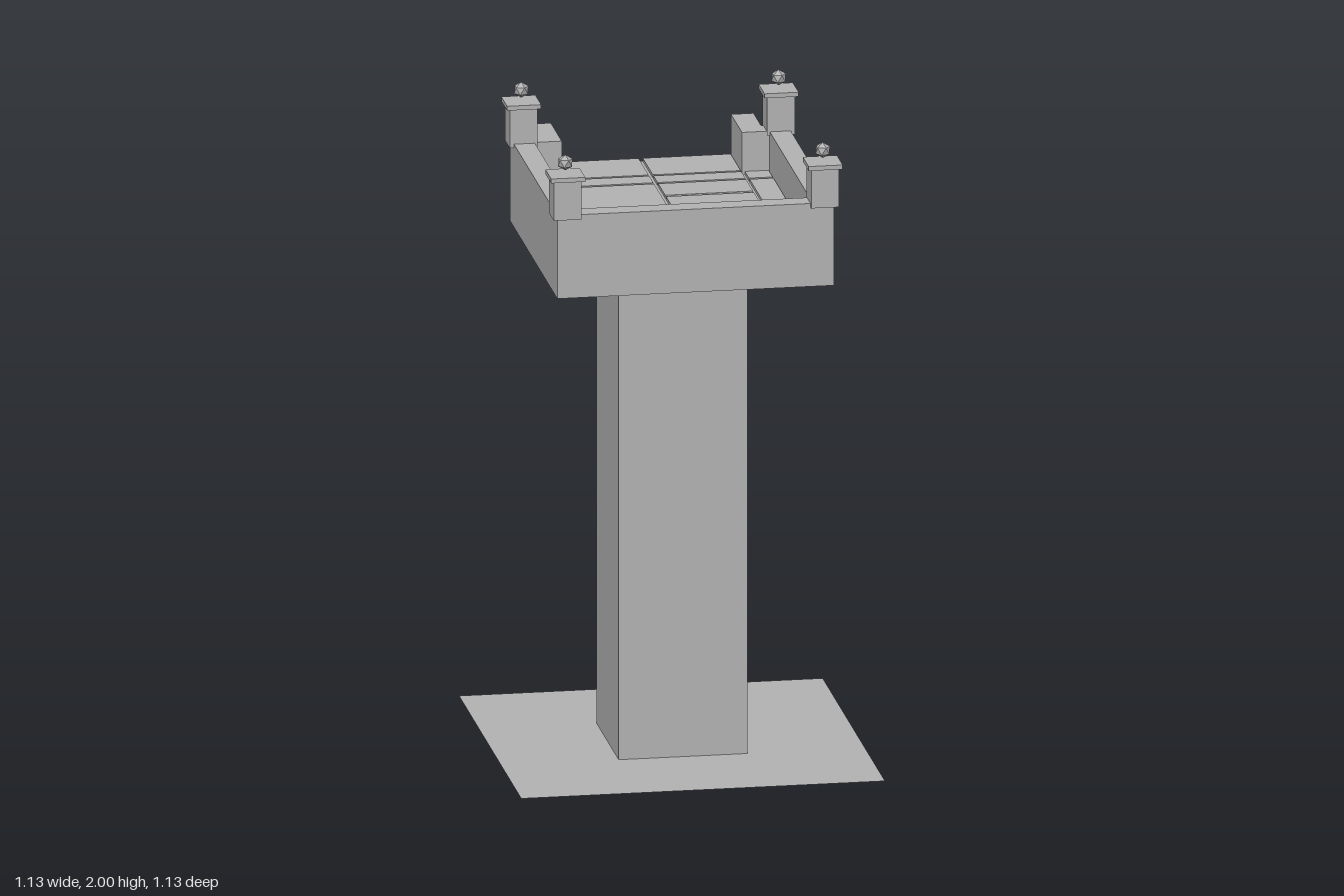
import * as THREE from 'three';

export function createModel() {
  const model = new THREE.Group();
  const stone = new THREE.MeshStandardMaterial({ color: 0xb3b3b3 });
  stone.name = 'stone';
  const ground = new THREE.MeshStandardMaterial({ color: 0xb3b3b3, side: THREE.DoubleSide });
  ground.name = 'stone sheet';

  const add = (name, geometry, parent = model, material = stone) => {
    const mesh = new THREE.Mesh(geometry, material);
    mesh.name = name;
    parent.add(mesh);
    return mesh;
  };
  // Box given by its extents on each axis
  const box = (name, x0, x1, y0, y1, z0, z1, parent) =>
    add(name, new THREE.BoxGeometry(x1 - x0, y1 - y0, z1 - z0), parent)
      .position.set((x0 + x1) / 2, (y0 + y1) / 2, (z0 + z1) / 2);
  // Plan outline of (x, z) points for the +x half, mirrored and raised from y0 to y1
  const slab = (name, half, y0, y1) => {
    const mirrored = half.map(([x, z]) => [-x, z]).reverse();
    const points = [...half, ...mirrored].map(([x, z]) => new THREE.Vector2(x, -z));
    const geometry = new THREE.ExtrudeGeometry(new THREE.Shape(points), { depth: y1 - y0, bevelEnabled: false });
    add(name, geometry.rotateX(-Math.PI / 2).translate(0, y0, 0));
  };

  // Ground sheet and square pillar
  add('groundSheet', new THREE.PlaneGeometry(1.13, 1.13).rotateX(-Math.PI / 2), model, ground);
  box('pillar', -0.2, 0.2, 0, 1.55, -0.2, 0.2);

  // Parapet wall, open at the back where the narrower landing projects
  slab('parapet', [
    [0.365, 0.365], [0.365, -0.365], [0.28, -0.365], [0.28, -0.565],
    [0.35, -0.565], [0.35, -0.43], [0.43, -0.43], [0.43, 0.43],
  ], 1.55, 1.815);
  slab('floor', [[0.365, 0.365], [0.365, -0.365], [0.28, -0.365], [0.28, -0.565]], 1.55, 1.68);

  // Paving slabs laid in a grid with narrow joints
  const paving = new THREE.Group();
  paving.name = 'paving';
  model.add(paving);
  const columns = [[-0.363, -0.292], [-0.28, -0.008], [0.005, 0.278], [0.289, 0.363]];
  const rows = [[-0.56, -0.377], [-0.366, -0.292], [-0.28, -0.009], [0.005, 0.277], [0.288, 0.361]];
  const tile = (x0, x1, z0, z1) => box('pavingSlab', x0, x1, 1.675, 1.69, z0, z1, paving);
  rows.forEach(([z0, z1], r) => columns.forEach(([x0, x1], c) => {
    if (r === 0 && (c === 0 || c === 3)) return;
    if (c === 2 && r === 2) {
      tile(x0, x1, z0, -0.152);
      tile(x0, x1, -0.138, z1);
    } else if (c === 2 && r === 3) {
      tile(x0, 0.135, z0, z1);
      tile(0.148, x1, z0, z1);
    } else tile(x0, x1, z0, z1);
  }));

  // Corner posts with a cap and a faceted ball, one point upward
  const ball = new THREE.IcosahedronGeometry(0.025, 0).rotateZ(-Math.atan(2 / (1 + Math.sqrt(5))));
  for (const x of [-0.4, 0.4]) for (const z of [-0.4, 0.4]) {
    const post = new THREE.Group();
    post.name = 'cornerPost';
    post.position.set(x, 0, z);
    model.add(post);
    box('shaft', -0.043, 0.043, 1.803, 1.926, -0.043, 0.043, post);
    box('cap', -0.053, 0.053, 1.926, 1.94, -0.053, 0.053, post);
    add('ball', ball, post).position.y = 1.975;
  }

  return model;
}
